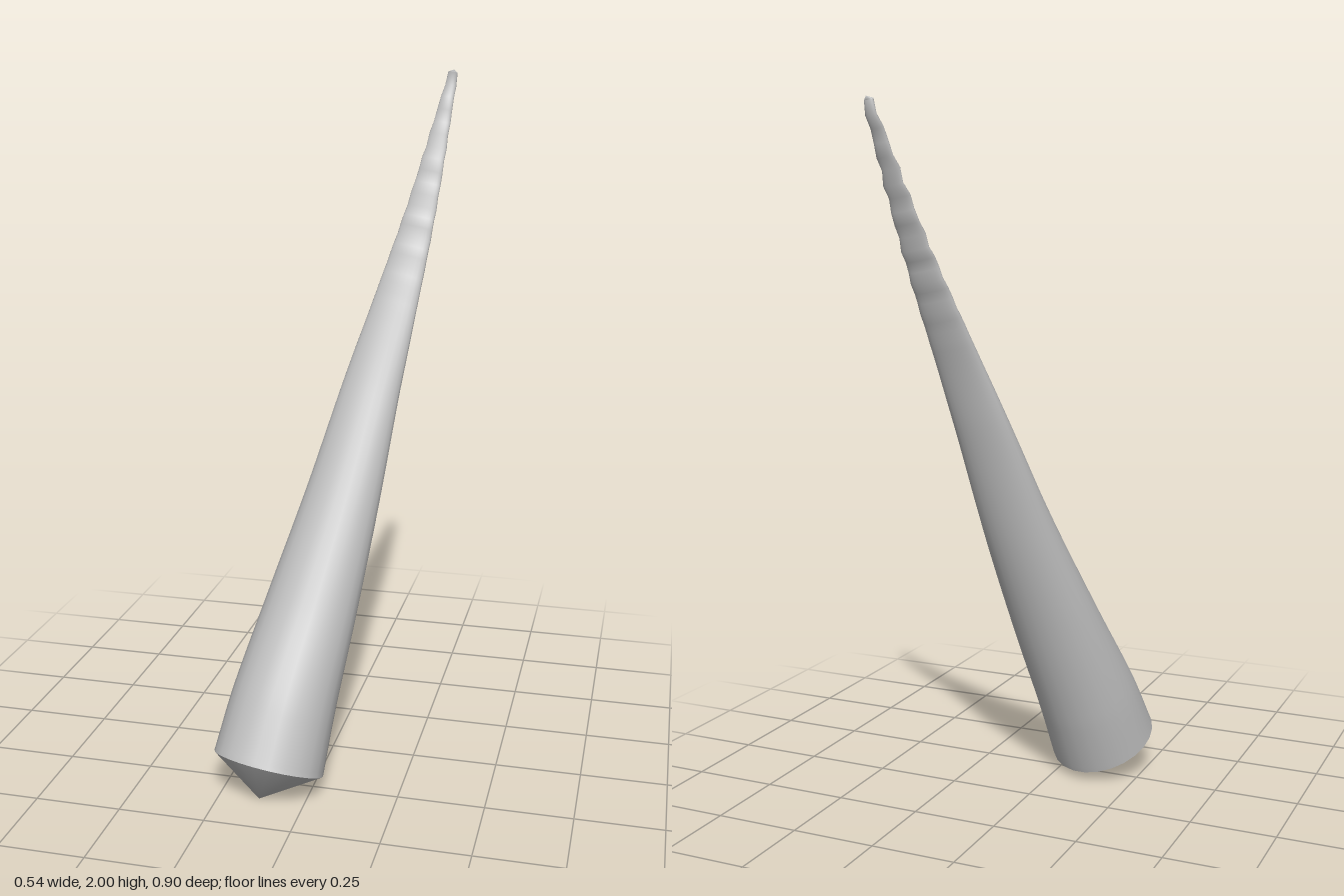
import * as THREE from 'three';

const SIDES = 24, RINGS = 80;

// Spine stations: x, y, z, half width, half thickness
const STATIONS = [
  [-0.115, 0.093, 0.31, 0.16, 0.163],
  [-0.09, 0.25, 0.24, 0.152, 0.148],
  [-0.038, 0.5, 0.122, 0.135, 0.113],
  [0.025, 0.8, -0.007, 0.111, 0.077],
  [0.083, 1.1, -0.12, 0.087, 0.042],
  [0.127, 1.3, -0.19, 0.07, 0.024],
  [0.19, 1.6, -0.302, 0.045, 0.012],
  [0.256, 1.99, -0.438, 0.014, 0.008],
];
const spine = new THREE.CatmullRomCurve3(STATIONS.map(s => new THREE.Vector3(s[0], s[1], s[2])));
const sizes = new THREE.CatmullRomCurve3(STATIONS.map(s => new THREE.Vector3(s[3], s[4], 0)));

// Elliptical section square to the spine, with ripples near the tip
function ring(t) {
  const c = spine.getPoint(t), tangent = spine.getTangent(t), size = sizes.getPoint(t);
  const u = new THREE.Vector3(1, 0, 0).addScaledVector(tangent, -tangent.x).normalize();
  const v = new THREE.Vector3().crossVectors(tangent, u);
  const ripple = 0.007 * THREE.MathUtils.smoothstep(c.y, 1.3, 1.75) * Math.sin(c.y * 75);
  c.addScaledVector(v, ripple);
  return Array.from({ length: SIDES }, (_, j) => {
    const a = j / SIDES * Math.PI * 2;
    return c.clone().addScaledVector(u, Math.cos(a) * size.x).addScaledVector(v, Math.sin(a) * size.y);
  });
}

function geometry(points, index) {
  const g = new THREE.BufferGeometry().setFromPoints(points);
  g.setIndex(index);
  g.computeVertexNormals();
  return g;
}

// Fan of faces closing a ring to a point
function fan(points, apex, upward) {
  const index = [];
  for (let j = 0; j < SIDES; j++) {
    const k = (j + 1) % SIDES;
    index.push(SIDES, upward ? j : k, upward ? k : j);
  }
  return geometry([...points, apex], index);
}

export function createModel() {
  const group = new THREE.Group();
  group.name = 'taperedHorn';
  const grey = new THREE.MeshStandardMaterial({ color: 0xc0c0c0 });
  grey.name = 'grey';
  const add = (name, geo) => {
    const mesh = new THREE.Mesh(geo, grey);
    mesh.name = name;
    group.add(mesh);
  };

  // Long shaft flattening toward the tip
  const points = [], index = [];
  for (let i = 0; i <= RINGS; i++) {
    points.push(...ring(i / RINGS));
    if (i === RINGS) break;
    for (let j = 0; j < SIDES; j++) {
      const a = i * SIDES + j, b = i * SIDES + (j + 1) % SIDES;
      index.push(a, b, a + SIDES, b, b + SIDES, a + SIDES);
    }
  }
  add('shaft', geometry(points, index));

  // Shallow pointed base and closed tip
  add('baseCone', fan(ring(0), new THREE.Vector3(-0.133, 0.0, 0.352), false));
  add('tipCap', fan(ring(1), new THREE.Vector3(0.258, 2.0, -0.442), true));
  return group;
}
